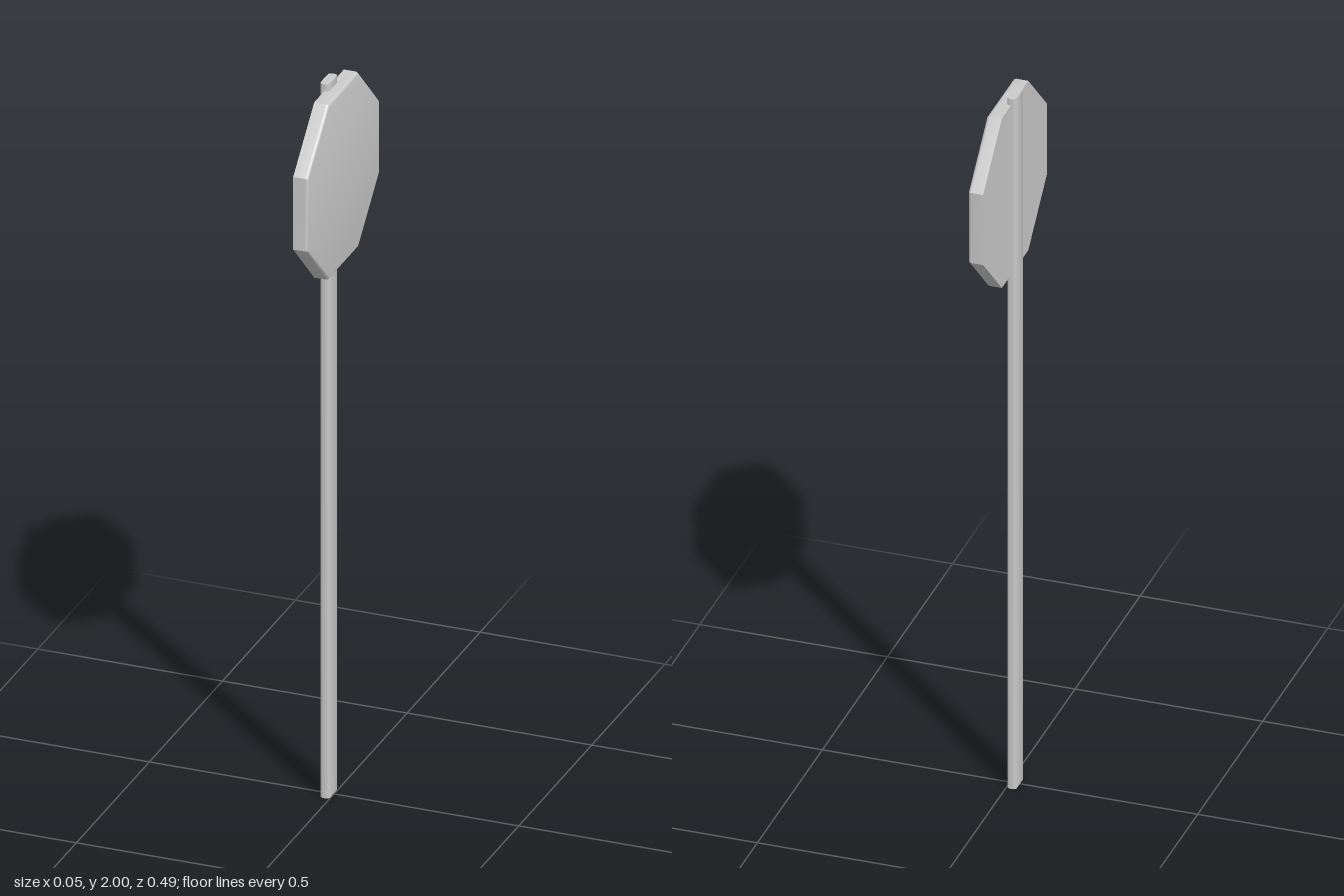
import * as THREE from 'three';
import { toCreasedNormals } from 'three/addons/utils/BufferGeometryUtils.js';

const material = new THREE.MeshStandardMaterial({ color: 0xcccccc });

// Flat bar with rounded long edges, standing on the ground
function makePost() {
  const w = 0.0125, d = 0.0325, r = 0.01;
  const s = new THREE.Shape();
  s.absarc(w - r, d - r, r, 0, Math.PI / 2);
  s.absarc(-w + r, d - r, r, Math.PI / 2, Math.PI);
  s.absarc(-w + r, -d + r, r, Math.PI, Math.PI * 1.5);
  s.absarc(w - r, -d + r, r, Math.PI * 1.5, Math.PI * 2);
  s.closePath();
  const geo = new THREE.ExtrudeGeometry(s, { depth: 2, bevelEnabled: false, curveSegments: 5 });
  geo.rotateX(-Math.PI / 2);
  const post = new THREE.Mesh(toCreasedNormals(geo, 0.6), material);
  post.name = 'post';
  post.position.x = -0.014;
  return post;
}

// Octagonal plate: flat back, rounded rim on the face side (+x)
function makePlate() {
  const R = 0.2455 / Math.cos(Math.PI / 8), back = -0.0135, face = 0.0265, r = 0.008;
  const profile = [new THREE.Vector2(0, back), new THREE.Vector2(R, back)];
  for (let i = 0; i <= 4; i++) {
    const a = (i / 4) * Math.PI / 2;
    profile.push(new THREE.Vector2(R - r + r * Math.cos(a), face - r + r * Math.sin(a)));
  }
  profile.push(new THREE.Vector2(0, face));
  const geo = new THREE.LatheGeometry(profile, 8, Math.PI / 8);
  geo.rotateZ(-Math.PI / 2);
  const plate = new THREE.Mesh(toCreasedNormals(geo, 0.6), material);
  plate.name = 'signPlate';
  plate.position.y = 1.735;
  return plate;
}

export function createModel() {
  const group = new THREE.Group();
  group.name = 'octagonalRoadSign';
  group.add(makePost(), makePlate());
  return group;
}
